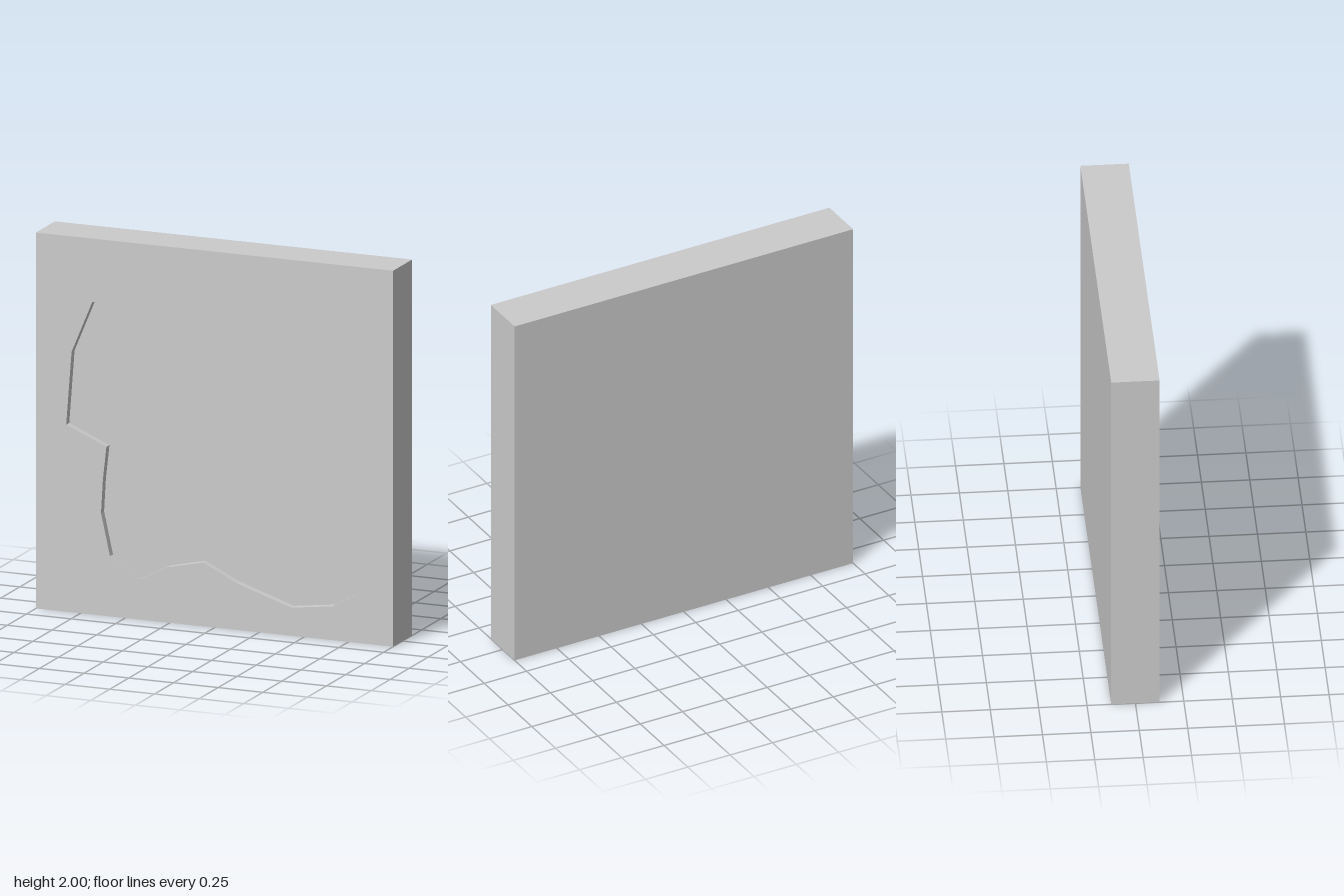
import * as THREE from 'three';

const HALF = 1, FRONT = 0.125, FLOOR = 0.085;

// Recess outline, clockwise from the upper left
const outline = [
  [-0.46, 1.75], [-0.18, 1.755], [0.04, 1.825], [0.305, 1.815], [0.705, 1.765],
  [0.93, 1.51], [0.85, 1.32], [0.725, 1.185], [0.76, 0.965], [0.87, 0.72],
  [0.835, 0.545], [0.76, 0.43], [0.77, 0.3], [0.79, 0.25], [0.66, 0.18],
  [0.43, 0.15], [0.12, 0.25], [-0.065, 0.34], [-0.26, 0.295], [-0.43, 0.21],
  [-0.585, 0.32], [-0.635, 0.545], [-0.625, 0.72], [-0.605, 0.9],
  [-0.83, 0.995], [-0.8, 1.385], [-0.685, 1.66],
].map(([x, y]) => new THREE.Vector2(x, y));

// Vertical walls joining the front face to the recess floor, facing inward
function wallGeometry(points) {
  const pos = [];
  points.forEach((a, i) => {
    const b = points[(i + 1) % points.length];
    pos.push(a.x, a.y, FRONT, a.x, a.y, FLOOR, b.x, b.y, FLOOR);
    pos.push(a.x, a.y, FRONT, b.x, b.y, FLOOR, b.x, b.y, FRONT);
  });
  const geo = new THREE.BufferGeometry();
  geo.setAttribute('position', new THREE.Float32BufferAttribute(pos, 3));
  geo.computeVertexNormals();
  return geo;
}

export function createModel() {
  const group = new THREE.Group();
  group.name = 'recessedPanel';
  const material = new THREE.MeshStandardMaterial({ color: 0xcccccc, flatShading: true });
  const add = (name, geometry, y = 0, z = 0) => {
    const mesh = new THREE.Mesh(geometry, material);
    mesh.name = name;
    mesh.position.set(0, y, z);
    group.add(mesh);
  };

  // Slab sides and back: a box with its front face left out
  const slab = new THREE.BoxGeometry(2 * HALF, 2 * HALF, 2 * FRONT);
  const index = Array.from(slab.index.array);
  const front = slab.groups[4];
  index.splice(front.start, front.count);
  slab.setIndex(index);
  slab.clearGroups();
  add('slabBody', slab, HALF);

  // Front face with the irregular opening
  const face = new THREE.Shape([
    new THREE.Vector2(-HALF, 0), new THREE.Vector2(HALF, 0),
    new THREE.Vector2(HALF, 2 * HALF), new THREE.Vector2(-HALF, 2 * HALF),
  ]);
  face.holes.push(new THREE.Path(outline));
  add('frontFace', new THREE.ShapeGeometry(face), 0, FRONT);

  // Shallow recess
  add('recessFloor', new THREE.ShapeGeometry(new THREE.Shape(outline)), 0, FLOOR);
  add('recessWalls', wallGeometry(outline));

  return group;
}
